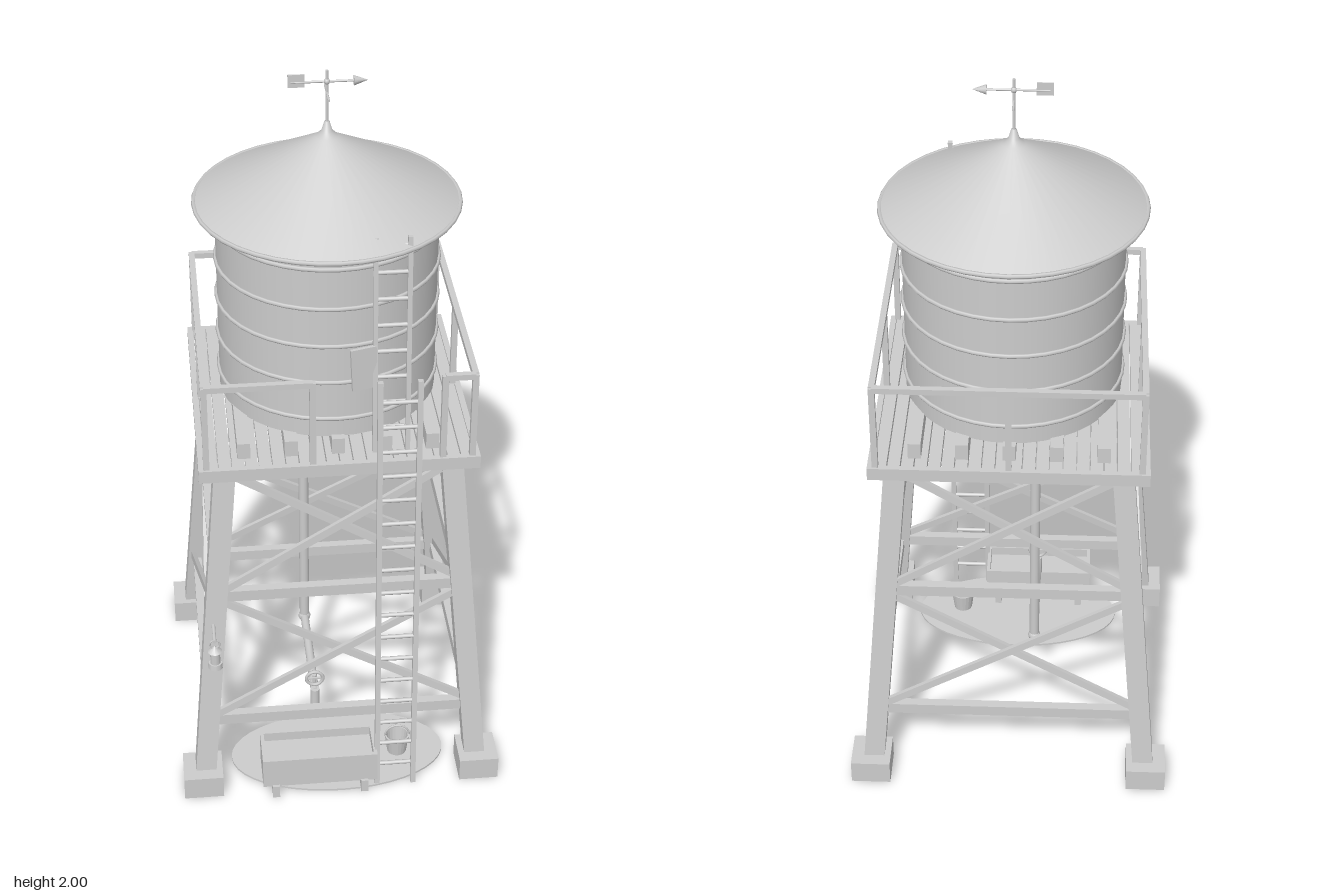
import * as THREE from 'three';

const V = (x, y, z) => new THREE.Vector3(x, y, z);

export function createModel() {
  const model = new THREE.Group();
  model.name = 'waterTower';
  const grey = new THREE.MeshStandardMaterial({ color: 0xcccccc });
  grey.name = 'light grey';

  const tower = new THREE.Group();
  tower.name = 'tower';
  tower.position.z = -0.015;
  model.add(tower);

  const add = (parent, name, geo, x = 0, y = 0, z = 0) => {
    const m = new THREE.Mesh(geo, grey);
    m.name = name;
    m.position.set(x, y, z);
    parent.add(m);
    return m;
  };
  const box = (parent, name, w, h, d, x, y, z) =>
    add(parent, name, new THREE.BoxGeometry(w, h, d), x, y, z);
  // square bar between two points
  const bar = (parent, name, a, b, w, d = w) => {
    const m = add(parent, name, new THREE.BoxGeometry(w, a.distanceTo(b), d));
    m.position.copy(a).add(b).multiplyScalar(0.5);
    m.quaternion.setFromUnitVectors(V(0, 1, 0), b.clone().sub(a).normalize());
    return m;
  };
  // round rod between two points
  const rod = (parent, name, a, b, r, n = 10) => {
    const m = add(parent, name, new THREE.CylinderGeometry(r, r, a.distanceTo(b), n));
    m.position.copy(a).add(b).multiplyScalar(0.5);
    m.quaternion.setFromUnitVectors(V(0, 1, 0), b.clone().sub(a).normalize());
    return m;
  };
  const ring = (parent, name, R, r, x, y, z, arc = Math.PI * 2) =>
    add(parent, name, new THREE.TorusGeometry(R, r, 6, 40, arc), x, y, z);

  // Legs lean inwards; spread gives their distance from the axis at a height
  const spread = (y) => 0.387 - 0.0865 * y;
  for (const sx of [-1, 1]) for (const sz of [-1, 1]) {
    box(tower, 'footing', 0.11, 0.07, 0.11, sx * 0.39, 0.035, sz * 0.39);
    const p = (y) => V(sx * spread(y), y, sz * spread(y));
    bar(tower, 'leg', p(0.03), p(1.035), 0.057);
  }

  // Girts and cross braces, the same on each of the four sides
  for (let i = 0; i < 4; i++) {
    const side = new THREE.Group();
    side.name = 'sideBracing';
    side.rotation.y = (i * Math.PI) / 2;
    tower.add(side);
    const p = (s, y, out = 0) => V(s * spread(y), y, spread(y) + out);
    for (const y of [0.228, 0.637])
      box(side, 'girt', spread(y) * 2, 0.033, 0.025, 0, y, spread(y));
    for (const [lo, hi] of [[0.24, 0.625], [0.65, 1.02]]) for (const s of [-1, 1])
      bar(side, 'crossBrace', p(-s, lo, s * 0.006 + 0.008), p(s, hi, s * 0.006 + 0.008), 0.021, 0.012);
  }

  // Deck planks and edge boards
  const planks = 20, pitch = 0.7 / planks;
  for (let i = 0; i < planks; i++)
    box(tower, 'deckPlank', pitch - 0.003, 0.022, 0.7, -0.35 + pitch * (i + 0.5), 1.052, 0);
  for (const s of [-1, 1]) {
    box(tower, 'deckEdge', 0.016, 0.036, 0.718, s * 0.358, 1.045, 0);
    box(tower, 'deckEdge', 0.7, 0.036, 0.016, 0, 1.045, s * 0.351);
  }
  for (let i = -2; i <= 2; i++)
    box(tower, 'tankJoist', 0.034, 0.046, 0.62, i * 0.123, 1.086, 0);

  // Railing, with a gap at the front for the ladder
  const R = 0.345, railY = 1.305;
  const post = (x, z) => box(tower, 'railPost', 0.016, 0.25, 0.016, x, 1.185, z);
  for (const s of [-1, 1]) {
    post(s * R, R); post(s * R, -R); post(s * R, 0);
    box(tower, 'handRail', 0.016, 0.016, R * 2, s * R, railY, 0);
  }
  post(0, -R); post(-0.07, R); post(0.268, R);
  box(tower, 'handRail', R * 2, 0.016, 0.016, 0, railY, -R);
  box(tower, 'handRail', 0.275, 0.016, 0.016, -0.2075, railY, R);
  box(tower, 'handRail', 0.077, 0.016, 0.016, 0.3065, railY, R);

  // Tank with hoops
  add(tower, 'tank', new THREE.CylinderGeometry(0.29, 0.29, 0.54, 40), 0, 1.375, 0);
  for (const y of [1.16, 1.27, 1.378, 1.487, 1.6])
    ring(tower, 'tankHoop', 0.291, 0.006, 0, y, 0).rotation.x = Math.PI / 2;

  // Roof with flared tip, closed underneath
  const profile = [[0, 1.64], [0.342, 1.64], [0.342, 1.648], [0.342, 1.648], [0.03, 1.822],
    [0.014, 1.838], [0.007, 1.862], [0, 1.865]].map(([x, y]) => new THREE.Vector2(x, y));
  const roofParts = [profile.slice(0, 3), profile.slice(3)];
  for (const part of roofParts) add(tower, 'roof', new THREE.LatheGeometry(part, 40));
  ring(tower, 'roofRim', 0.342, 0.006, 0, 1.646, 0).rotation.x = Math.PI / 2;

  // Weather vane
  rod(tower, 'vaneMast', V(0, 1.85, 0), V(0, 2, 0), 0.004);
  rod(tower, 'vaneArrow', V(-0.09, 1.97, 0), V(0.08, 1.97, 0), 0.003);
  rod(tower, 'vaneCrossArm', V(0, 1.94, -0.05), V(0, 1.94, 0.05), 0.003);
  add(tower, 'vaneHead', new THREE.ConeGeometry(0.013, 0.036, 10), 0.085, 1.97, 0).rotation.z = -Math.PI / 2;
  box(tower, 'vaneTail', 0.042, 0.034, 0.004, -0.077, 1.974, 0);
  add(tower, 'vaneHub', new THREE.SphereGeometry(0.008, 10, 8), 0, 1.97, 0);

  // Ladders: ground to rail, then deck to roof
  const ladder = (name, x0, x1, a, b, step, w) => {
    const g = new THREE.Group();
    g.name = name;
    model.add(g);
    for (const x of [x0, x1]) bar(g, 'ladderStile', V(x, a.y, a.z), V(x, b.y, b.z), w);
    for (let y = a.y + step; y < b.y - 0.02; y += step) {
      const z = a.z + ((b.z - a.z) * (y - a.y)) / (b.y - a.y);
      rod(g, 'ladderRung', V(x0, y, z), V(x1, y, z), 0.006, 8);
    }
  };
  ladder('lowerLadder', 0.1, 0.202, V(0, 0, 0.422), V(0, 1.31, 0.347), 0.0735, 0.014);
  ladder('upperLadder', 0.094, 0.18, V(0, 1.065, 0.297), V(0, 1.675, 0.258), 0.0735, 0.012);

  // Plate on the tank front
  const plate = box(model, 'tankPlate', 0.068, 0.122, 0.009, 0.065, 1.317, 0.288);
  plate.rotation.set(0, 0.2, 0.05);

  // Feed pipe with tap above the trough
  const px = -0.062;
  rod(model, 'standPipe', V(px, 0.225, -0.07), V(px, 1.11, -0.07), 0.014, 14);
  rod(model, 'feedPipe', V(px, 0.225, -0.07), V(px, 0.225, 0.268), 0.012, 12);
  add(model, 'pipeElbow', new THREE.SphereGeometry(0.018, 12, 8), px, 0.225, -0.07);
  rod(model, 'spout', V(px, 0.235, 0.268), V(px, 0.175, 0.268), 0.013, 12);
  rod(model, 'valveStem', V(px, 0.225, 0.25), V(px, 0.27, 0.25), 0.005);
  ring(model, 'valveWheel', 0.023, 0.005, px, 0.268, 0.262);
  box(model, 'valveSpoke', 0.046, 0.005, 0.005, px, 0.268, 0.262);

  // Open trough on short legs
  const trough = new THREE.Group();
  trough.name = 'trough';
  trough.position.set(-0.063, 0, 0.38);
  model.add(trough);
  box(trough, 'troughFloor', 0.32, 0.012, 0.12, 0, 0.042, 0);
  for (const s of [-1, 1]) {
    box(trough, 'troughSide', 0.322, 0.095, 0.01, 0, 0.083, s * 0.057);
    box(trough, 'troughEnd', 0.01, 0.095, 0.114, s * 0.156, 0.083, 0);
    box(trough, 'troughLeg', 0.02, 0.04, 0.14, s * 0.125, 0.02, 0);
  }
  box(trough, 'troughWater', 0.305, 0.004, 0.106, 0, 0.1, 0);

  // Bucket
  const bucketProfile = [[0, 0.004], [0.027, 0.004], [0.035, 0.064], [0.031, 0.064], [0.025, 0.012], [0, 0.012]]
    .map(([x, y]) => new THREE.Vector2(x, y));
  const bucket = new THREE.LatheGeometry(bucketProfile, 20).toNonIndexed();
  bucket.computeVertexNormals();
  add(model, 'bucket', bucket, 0.172, 0, 0.295);
  ring(model, 'bucketHandle', 0.035, 0.003, 0.172, 0.062, 0.295, Math.PI);

  // Puddle
  add(model, 'puddle', new THREE.CylinderGeometry(1, 1, 0.006, 40), 0, 0.003, 0.28).scale.set(0.305, 1, 0.16);

  // Lantern hung from the front leg
  const lantern = new THREE.Group();
  lantern.name = 'lantern';
  lantern.position.set(-0.344, 0, 0.415);
  model.add(lantern);
  rod(lantern, 'lanternBracket', V(0, 0.56, -0.09), V(0, 0.56, 0.006), 0.005);
  ring(lantern, 'lanternRing', 0.013, 0.0025, 0, 0.547, 0);
  add(lantern, 'lanternCap', new THREE.ConeGeometry(0.02, 0.018, 10), 0, 0.532, 0);
  add(lantern, 'lanternGlass', new THREE.CylinderGeometry(0.014, 0.014, 0.04, 10), 0, 0.503, 0);
  add(lantern, 'lanternBase', new THREE.CylinderGeometry(0.018, 0.02, 0.016, 10), 0, 0.476, 0);

  return model;
}
